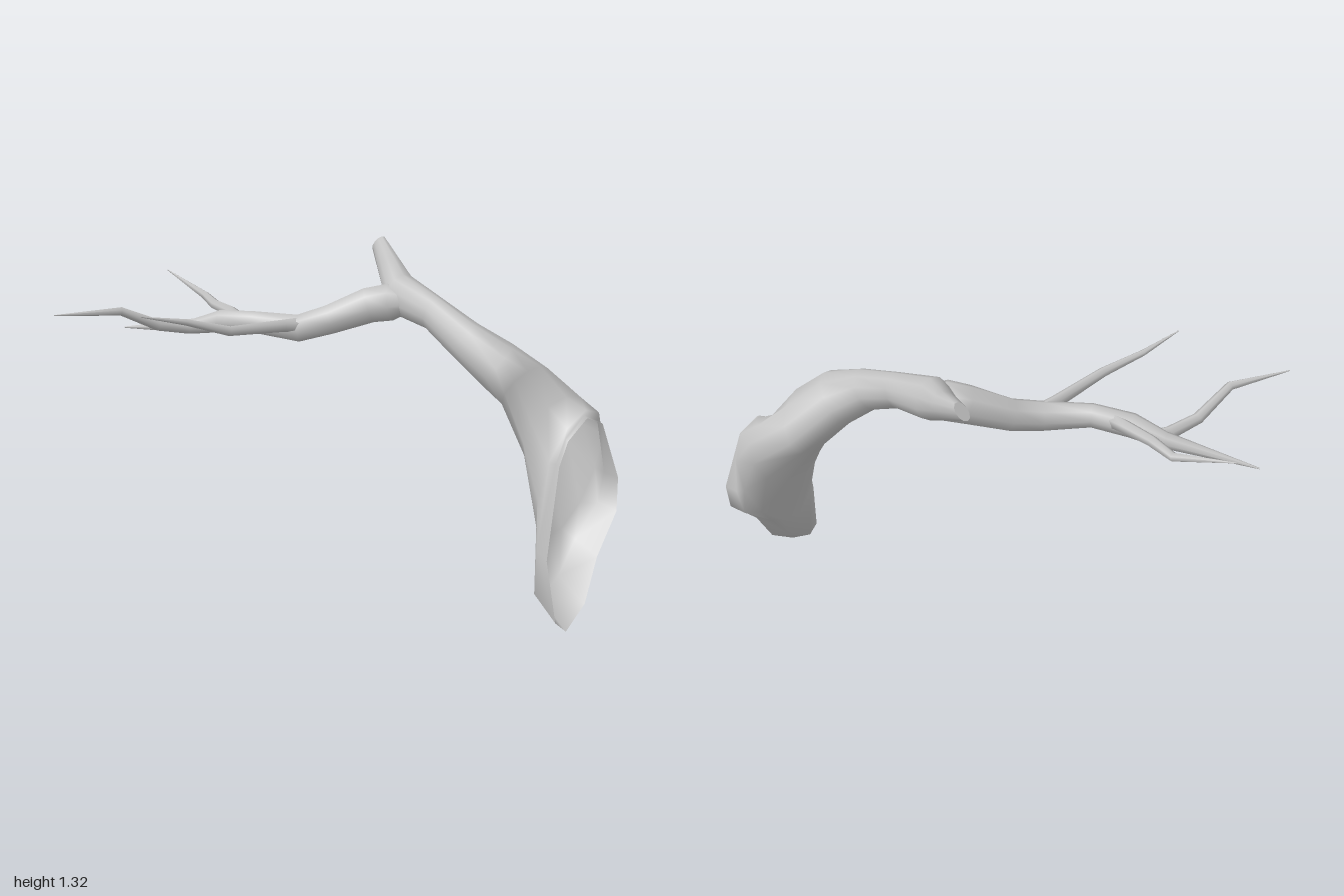
import * as THREE from 'three';

const V = (a) => new THREE.Vector3(...a);
const bark = new THREE.MeshStandardMaterial({ color: 0xc2c2c2, side: THREE.DoubleSide });
bark.name = 'grey bark';

function mesh(name, points, index) {
  const g = new THREE.BufferGeometry().setFromPoints(points);
  g.setIndex(index);
  g.computeVertexNormals();
  const m = new THREE.Mesh(g, bark);
  m.name = name;
  return m;
}

// Open skin over a list of equal-sized rings
function loft(name, rings) {
  const n = rings[0].length, index = [];
  for (let i = 0; i < rings.length - 1; i++) {
    for (let j = 0; j < n; j++) {
      const a = i * n + j, b = i * n + (j + 1) % n;
      index.push(a, a + n, b, b, a + n, b + n);
    }
  }
  return mesh(name, rings.flat(), index);
}

// Flat end over a ring
function cap(name, ring) {
  const index = [];
  for (let j = 1; j < ring.length - 1; j++) index.push(0, j, j + 1);
  return mesh(name, ring, index);
}

// Ellipse from its centre, top vector and back vector
function ellipse(c, top, back, n) {
  return Array.from({ length: n }, (_, j) => {
    const t = (j / n) * Math.PI * 2;
    return c.clone().addScaledVector(top, Math.cos(t)).addScaledVector(back, Math.sin(t));
  });
}

// Tapered limb through points of [x, y, z, radius]
function limb(name, path, n) {
  const pts = path.map((p) => V(p.slice(0, 3)));
  const rings = pts.map((p, i) => {
    const t = pts[Math.min(i + 1, pts.length - 1)].clone()
      .sub(pts[Math.max(i - 1, 0)]).normalize();
    const up = new THREE.Vector3(0, 1, 0).addScaledVector(t, -t.y).normalize();
    const back = up.clone().cross(t);
    return ellipse(p, up.multiplyScalar(path[i][3]), back.multiplyScalar(path[i][3]), n);
  });
  return loft(name, rings);
}

export function createModel() {
  const model = new THREE.Group();
  model.name = 'brokenBranch';

  // Rim of the long slanted opening at the thick end
  const rim = [
    [0.88, 0.815, -0.56], [0.89, 0.77, -0.65], [0.93, 0.53, -0.73], [0.955, 0.4, -0.705],
    [0.975, 0.25, -0.57], [1, 0.085, -0.48], [1, 0.003, -0.37], [0.98, 0.05, -0.325],
    [0.92, 0.3, -0.32], [0.885, 0.66, -0.4], [0.88, 0.75, -0.45],
  ].map(V);
  const collar = rim.map((p) => new THREE.Vector3(
    0.866, 0.43 + (p.y - 0.43) * (p.y < 0.43 ? 0.79 : 1.02), -0.52 + (p.z + 0.52) * 0.98));

  // Thick hollow limb, from the broken side stub to the opening: centre, top, back
  const sections = [
    [[-0.24, 1.29, -0.535], [0.018, 0.032, 0], [0.012, 0.005, -0.022]],
    [[-0.1, 1.222, -0.465], [0.018, 0.052, 0], [0.02, 0, -0.045]],
    [[0.045, 1.155, -0.385], [0.01, 0.085, 0], [0.01, 0, -0.08]],
    [[0.23, 1.118, -0.385], [0.02, 0.068, 0], [0, 0, -0.06]],
    [[0.4, 1.053, -0.38], [0.05, 0.068, 0], [-0.02, 0.01, -0.075]],
    [[0.535, 0.98, -0.415], [0.075, 0.08, 0], [-0.055, 0.015, -0.105]],
    [[0.625, 0.885, -0.495], [0.065, 0.105, 0], [-0.025, -0.03, -0.145]],
    [[0.725, 0.725, -0.565], [0.045, 0.145, 0], [0.03, 0.01, -0.145]],
    [[0.825, 0.565, -0.55], [0.025, 0.265, -0.04], [0.01, 0.02, -0.168]],
  ].map((s) => ellipse(...s.map(V), rim.length));
  model.add(loft('thickLimb', [...sections, collar, rim]), cap('stubEnd', sections[0]));

  // Forked main branch
  model.add(limb('mainBranch', [
    [0.1, 1.14, -0.375, 0.045], [0.035, 1.13, -0.335, 0.078], [-0.035, 1.112, -0.28, 0.075],
    [-0.14, 1.052, -0.16, 0.063], [-0.21, 1.022, -0.05, 0.058], [-0.36, 1.035, 0.055, 0.047],
    [-0.5, 1.02, 0.115, 0.048], [-0.62, 0.98, 0.165, 0.033], [-0.95, 0.925, 0.305, 0.003],
  ], 8));

  // Thin twigs
  const twigs = {
    sideTwig: [[-0.44, 1.035, 0.075, 0.03], [-0.52, 1.045, 0.058, 0.026],
      [-0.64, 1.045, 0.045, 0.022], [-0.76, 1.05, 0.005, 0.018], [-1, 1.12, 0.03, 0.002]],
    frontTwig: [[-0.58, 0.985, 0.15, 0.03], [-0.61, 0.985, 0.21, 0.027],
      [-0.655, 1.01, 0.33, 0.023], [-0.69, 1.095, 0.485, 0.018], [-0.81, 1.1, 0.725, 0.002]],
    innerTwig: [[-0.2, 1.04, -0.04, 0.032], [-0.21, 1.05, 0.03, 0.026],
      [-0.24, 1.075, 0.28, 0.02], [-0.32, 1.125, 0.43, 0.013], [-0.37, 1.17, 0.6, 0.002]],
  };
  for (const [name, path] of Object.entries(twigs)) model.add(limb(name, path, 6));
  return model;
}
